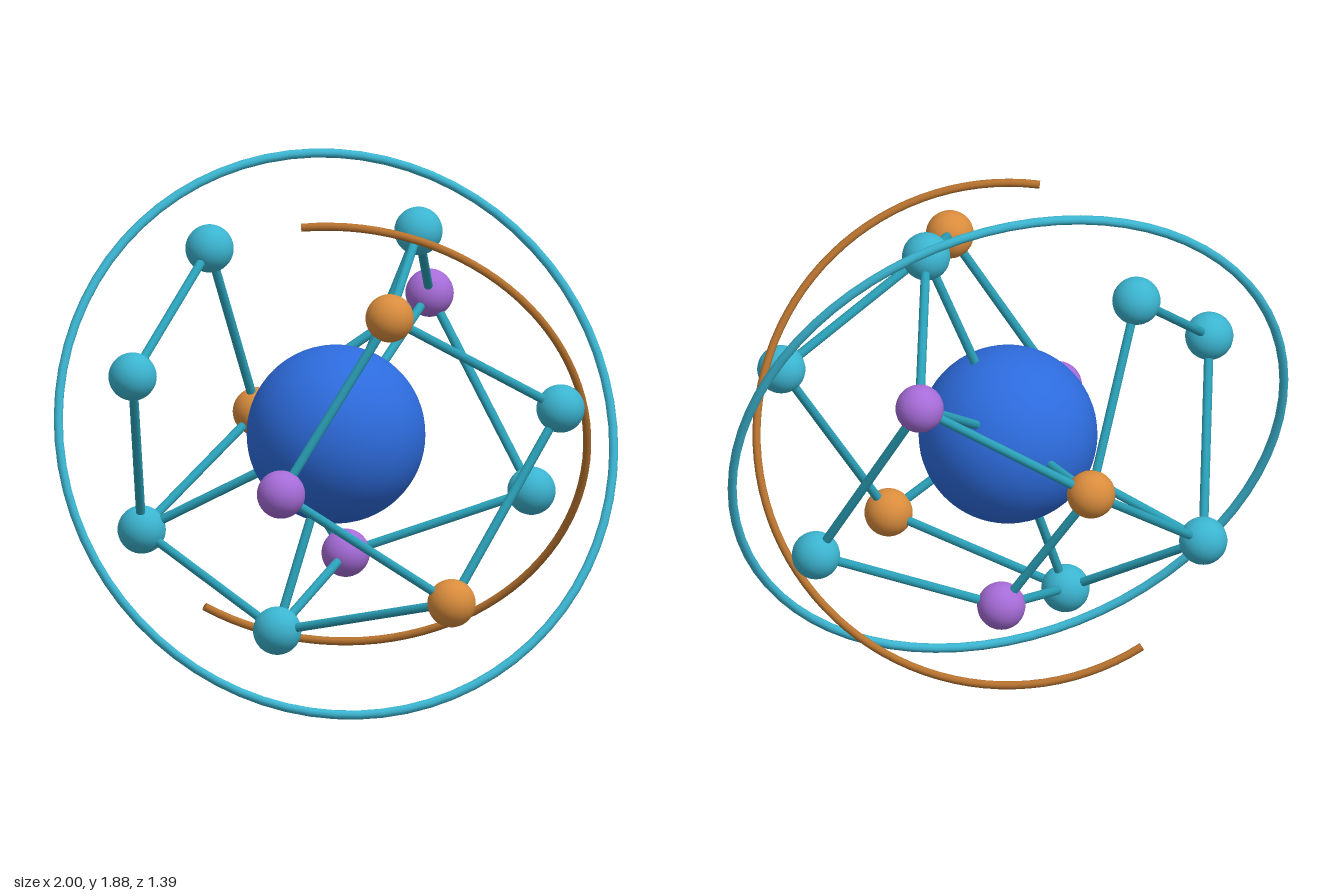
import * as THREE from 'three';

const CENTER = new THREE.Vector3(0, 0.95, -0.015);

// Outer nodes: colour name and position
const NODES = {
  a: ['teal', -0.37, 1.555, -0.36],
  b: ['teal', -0.74, 1.19, 0.11],
  c: ['teal', -0.625, 0.6, -0.28],
  d: ['teal', -0.235, 0.295, 0.12],
  e: ['teal', 0.29, 1.645, -0.02],
  f: ['purple', 0.455, 1.34, -0.61],
  g: ['teal', 0.695, 1.08, 0.42],
  h: ['teal', 0.745, 0.69, -0.295],
  i: ['orange', 0.055, 1.44, 0.61],
  j: ['purple', -0.325, 0.84, 0.605],
  k: ['purple', 0.115, 0.48, -0.395],
  l: ['orange', 0.28, 0.44, 0.573],
  m: ['orange', -0.155, 0.95, -0.59],
};

// Pairs of joined nodes, and the nodes tied to the core
const LINKS = 'ab bc cd am cm fm km fh fe ei gi gl ij jl ld dk hk'.split(' ');
const SPOKES = 'efmcd'.split('');

function material(name, color) {
  const m = new THREE.MeshStandardMaterial({ color });
  m.name = name;
  return m;
}

export function createModel() {
  const model = new THREE.Group();
  model.name = 'orbitalNetwork';
  const mats = {
    blue: material('coreBlue', 0x2d6bdc),
    teal: material('teal', 0x3bb4d0),
    strut: material('strutTeal', 0x2aa0b8),
    purple: material('purple', 0xa66cd8),
    orange: material('orange', 0xd98c3d),
    copper: material('copper', 0xb8732f),
  };

  const add = (name, geometry, mat, parent = model) => {
    const mesh = new THREE.Mesh(geometry, mat);
    mesh.name = name;
    parent.add(mesh);
    return mesh;
  };

  // Core
  add('core', new THREE.SphereGeometry(0.307, 48, 32), mats.blue).position.copy(CENTER);

  // Nodes
  const nodeGeo = new THREE.SphereGeometry(0.083, 28, 20);
  const points = {};
  for (const [key, [color, x, y, z]] of Object.entries(NODES)) {
    points[key] = new THREE.Vector3(x, y, z);
    add(color + 'Node', nodeGeo, mats[color]).position.copy(points[key]);
  }

  // Struts between nodes and spokes to the core
  const strutGeo = new THREE.CylinderGeometry(0.016, 0.016, 1, 10);
  const up = new THREE.Vector3(0, 1, 0);
  const strut = (name, p, q) => {
    const dir = q.clone().sub(p);
    const mesh = add(name, strutGeo, mats.strut);
    mesh.position.copy(p).add(q).multiplyScalar(0.5);
    mesh.scale.y = dir.length();
    mesh.quaternion.setFromUnitVectors(up, dir.normalize());
  };
  for (const [p, q] of LINKS) strut('strut', points[p], points[q]);
  for (const p of SPOKES) strut('coreSpoke', points[p], CENTER);

  // Full tilted ring
  const ring = add('outerRing', new THREE.TorusGeometry(0.984, 0.016, 10, 72), mats.teal);
  ring.position.copy(CENTER);
  ring.quaternion.setFromUnitVectors(
    new THREE.Vector3(0, 0, 1), new THREE.Vector3(0.06, 0.358, 1).normalize());

  // Open orbit arc, swept from its upper end round the left side
  const R = 0.863, TUBE = 0.014, SWEEP = 3.83;
  const axis = new THREE.Vector3(0.24, 0.44, -0.865).normalize();
  const start = new THREE.Vector3(-0.19, 0.78, 0.325).projectOnPlane(axis).normalize();
  const side = axis.clone().cross(start);
  const orbit = new THREE.Group();
  orbit.name = 'openOrbit';
  orbit.position.copy(CENTER);
  orbit.quaternion.setFromRotationMatrix(new THREE.Matrix4().makeBasis(start, side, axis));
  add('orbitArc', new THREE.TorusGeometry(R, TUBE, 10, 64, SWEEP), mats.copper, orbit);
  for (const [angle, turn] of [[0, Math.PI / 2], [SWEEP, -Math.PI / 2]]) {
    const cap = add('orbitCap', new THREE.CircleGeometry(TUBE, 10).rotateX(turn), mats.copper, orbit);
    cap.position.set(R * Math.cos(angle), R * Math.sin(angle), 0);
    cap.rotation.z = angle;
  }
  model.add(orbit);

  return model;
}
